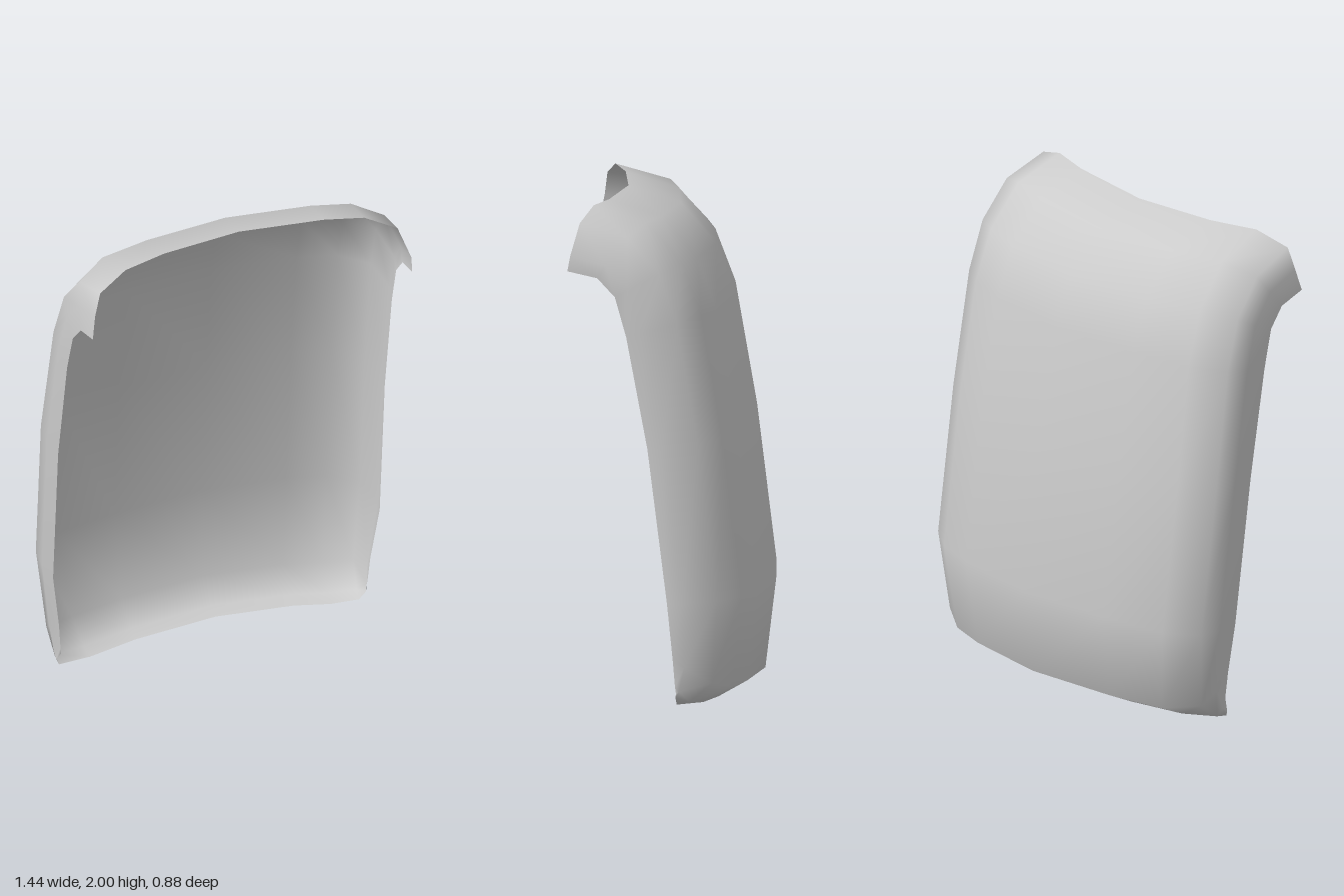
import * as THREE from 'three';

// Vertical profiles as [y, z], bottom rim to top rim
const backProfile = [[0, -0.21], [0.01, -0.28], [0.08, -0.4], [0.45, -0.445], [1.08, -0.365],
  [1.57, -0.28], [1.78, -0.2], [1.94, -0.055], [2, 0.16]];
const sideProfile = [[0.06, -0.26], [0.09, -0.257], [0.2, -0.25], [0.43, -0.235], [1.05, -0.155],
  [1.5, -0.07], [1.66, -0.025], [1.735, 0.045], [1.76, 0.165]];

// Columns across the shell: x at the bottom, belt and top, forward sweep,
// and blend from the back profile (0) to the side rim profile (1)
const columns = [
  [-0.66, -0.7, -0.64, 0.275, 1],
  [-0.68, -0.72, -0.625, 0.255, 0.62],
  [-0.67, -0.72, -0.6, 0.24, 0.23],
  [-0.53, -0.61, -0.48, 0.18, 0],
  [-0.32, -0.35, -0.3, 0.095, 0],
  [0.03, 0.03, 0.03, 0.005, 0],
  [0.35, 0.38, 0.38, 0, 0],
  [0.5, 0.54, 0.54, 0.025, 0],
  [0.61, 0.66, 0.67, 0.05, 0.22],
  [0.64, 0.7, 0.72, 0.075, 0.75],
  [0.64, 0.69, 0.72, 0.085, 1],
];

// How far each row has moved from the belt width to the bottom (-) or top (+) width
const rowTaper = [-1, -0.9, -0.7, 0, 0, 0.25, 0.45, 0.7, 1];

function shellGeometry() {
  const { lerp } = THREE.MathUtils;
  const positions = [], index = [], n = columns.length;
  rowTaper.forEach((t, r) => {
    for (const [bottom, belt, top, sweep, w] of columns) {
      positions.push(
        lerp(belt, t < 0 ? bottom : top, Math.abs(t)),
        lerp(backProfile[r][0], sideProfile[r][0], w),
        lerp(backProfile[r][1], sideProfile[r][1], w) + sweep,
      );
    }
  });
  for (let r = 0; r < rowTaper.length - 1; r++) {
    for (let c = 0; c < n - 1; c++) {
      const a = r * n + c, b = a + n;
      index.push(a, b, a + 1, a + 1, b, b + 1);
    }
  }
  const geometry = new THREE.BufferGeometry();
  geometry.setAttribute('position', new THREE.Float32BufferAttribute(positions, 3));
  geometry.setIndex(index);
  geometry.computeVertexNormals();
  return geometry;
}

export function createModel() {
  const model = new THREE.Group();
  model.name = 'curvedShell';
  // Thin open panel with rims turned forward on all four sides
  const material = new THREE.MeshStandardMaterial({ color: 0xcccccc, side: THREE.DoubleSide });
  const shell = new THREE.Mesh(shellGeometry(), material);
  shell.name = 'shellPanel';
  model.add(shell);
  return model;
}
